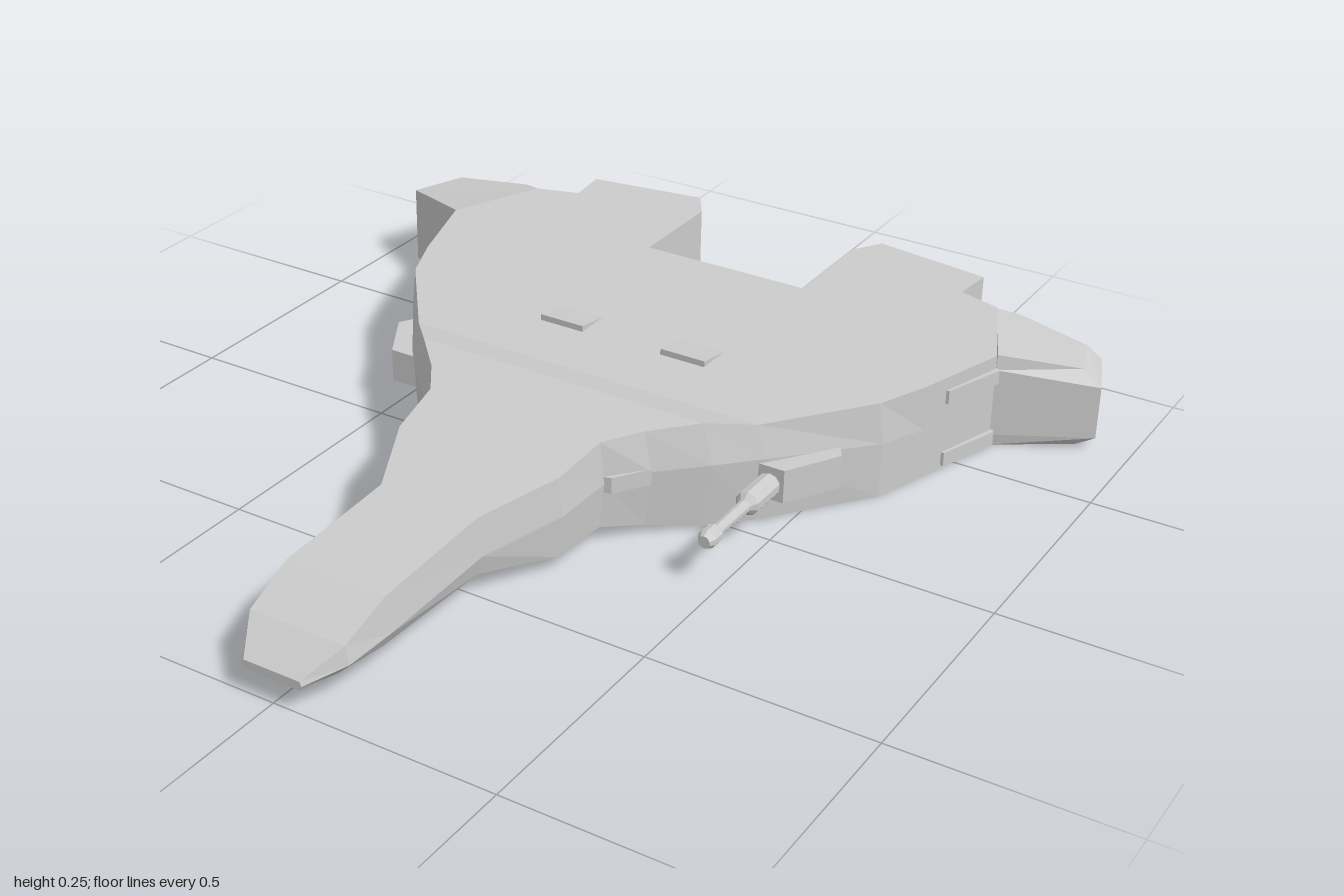
import * as THREE from 'three';

const material = new THREE.MeshStandardMaterial({ color: 0xcccccc, flatShading: true });

function add(group, name, geometry) {
  const mesh = new THREE.Mesh(geometry, material);
  mesh.name = name;
  group.add(mesh);
  return mesh;
}

// Skin a series of equal-sized rings and close both ends
function loft(rings) {
  const pos = [];
  const tri = (a, b, c) => pos.push(...a, ...b, ...c);
  const n = rings[0].length;
  for (let i = 0; i < rings.length - 1; i++) {
    for (let j = 0; j < n; j++) {
      const k = (j + 1) % n;
      tri(rings[i][j], rings[i][k], rings[i + 1][k]);
      tri(rings[i][j], rings[i + 1][k], rings[i + 1][j]);
    }
  }
  const first = rings[0], last = rings[rings.length - 1];
  for (let j = 1; j < n - 1; j++) {
    tri(first[0], first[j + 1], first[j]);
    tri(last[0], last[j], last[j + 1]);
  }
  const g = new THREE.BufferGeometry();
  g.setAttribute('position', new THREE.Float32BufferAttribute(pos, 3));
  g.computeVertexNormals();
  return g;
}

// Upright block from plan rings of [x, y, z]; s = -1 mirrors it to the right side
function block(rings, s) {
  return loft(rings.map((ring) => {
    const r = ring.map(([x, y, z]) => [x * s, y, z]);
    return s < 0 ? r.reverse() : r;
  }));
}
const level = (plan, y) => plan.map(([x, z]) => [x, y, z]);

export function createModel() {
  const model = new THREE.Group();
  model.name = 'spacecraft';

  // Main hull and nose: z, half width, bottom, crease height, top, top inset, bottom inset
  const stations = [
    [-0.61, 0.717, 0.012, 0.12, 0.235, 0, 0],
    [-0.40, 0.65, 0.012, 0.13, 0.235, 0, 0],
    [-0.28, 0.61, 0.012, 0.14, 0.235, 0.01, 0],
    [-0.06, 0.45, 0.012, 0.16, 0.235, 0.02, 0.01],
    [0.03, 0.375, 0.016, 0.165, 0.257, 0.025, 0.015],
    [0.12, 0.285, 0.034, 0.165, 0.254, 0.02, 0.015],
    [0.20, 0.22, 0.05, 0.155, 0.25, 0.01, 0.01],
    [0.33, 0.205, 0.042, 0.14, 0.226, 0.01, 0.01],
    [0.50, 0.127, 0.065, 0.11, 0.196, 0.01, 0.012],
    [0.80, 0.127, 0.065, 0.10, 0.18, 0.01, 0.02],
    [0.92, 0.12, 0.065, 0.095, 0.135, 0.008, 0.03],
    [1.00, 0.07, 0.065, 0.075, 0.085, 0.004, 0.006],
  ];
  add(model, 'hull', loft(stations.map(([z, w, b, m, t, ti, bi]) => [
    [-w + bi, b, z], [w - bi, b, z], [w, m, z],
    [w - ti, t, z], [-w + ti, t, z], [-w, m, z],
  ])));

  // Stern with two engine blocks around a square slot
  const half = [[0.717, -0.61], [0.62, -0.83], [0.52, -0.86], [0.53, -0.96],
    [0.25, -1], [0.205, -0.93], [0.205, -0.68]];
  const plan = [...half, ...half.map(([x, z]) => [-x, z]).reverse()];
  const stern = new THREE.ExtrudeGeometry(
    new THREE.Shape(plan.map(([x, z]) => new THREE.Vector2(x, -z))),
    { depth: 0.223, bevelEnabled: false });
  stern.rotateX(-Math.PI / 2).translate(0, 0.012, 0);
  add(model, 'stern', stern);

  // Winglets: plain on the right, chamfered on the left
  const wing = [[0.717, -0.61], [0.92, -0.72], [0.87, -0.85], [0.67, -0.855], [0.62, -0.83]];
  const topY = [0.235, 0.2, 0.2, 0.225, 0.235];
  const inset = [[0.717, -0.615], [0.875, -0.72], [0.84, -0.83], [0.67, -0.845], [0.62, -0.825]];
  const topOf = (p, drop) => p.map(([x, z], i) => [x, topY[i] - drop, z]);
  add(model, 'rightWinglet', block([level(wing, 0.012), topOf(wing, 0)], -1));
  add(model, 'leftWinglet', block([
    level(inset, 0.012), level(wing, 0.04), topOf(wing, 0.035), topOf(inset, 0),
  ], 1));

  // Flank pods, small shoulder blocks and roof ramps on both sides
  const pod = [[0.42, -0.05], [0.50, -0.05], [0.57, -0.17], [0.55, -0.205], [0.48, -0.2]];
  const shoulder = [[0.20, 0.205], [0.235, 0.195], [0.285, 0.12], [0.24, 0.10]];
  for (const [side, s] of [['left', 1], ['right', -1]]) {
    add(model, side + 'FlankPod', block([level(pod, 0.075), level(pod, 0.152)], s));
    add(model, side + 'ShoulderBlock', block([level(shoulder, 0.135), level(shoulder, 0.172)], s));
    const ramp = [[0.1, -0.22], [0.21, -0.22], [0.21, -0.305], [0.1, -0.305]];
    const rampTop = ramp.map(([x, z], i) => [x, i < 2 ? 0.249 : 0.2355, z]);
    add(model, side + 'RoofRamp', block([level(ramp, 0.225), rampTop], s));
  }

  // Armour rails on the left flank ahead of the winglet
  for (const y of [0.02, 0.172]) {
    const rail = [[0.62, -0.46], [0.676, -0.46], [0.728, -0.605], [0.7, -0.64]];
    add(model, 'flankRail', block([level(rail, y), level(rail, y + 0.032)], 1));
  }

  // Cannon on the left pod, a single turned profile
  const profile = [[0, -0.055], [0.022, -0.055], [0.027, -0.045], [0.027, 0.045], [0.015, 0.058],
    [0.013, 0.17], [0.021, 0.18], [0.021, 0.208], [0.014, 0.222], [0, 0.222]];
  const cannon = new THREE.LatheGeometry(profile.map(([r, z]) => new THREE.Vector2(r, z)), 10);
  cannon.rotateX(Math.PI / 2);
  add(model, 'cannon', cannon).position.set(0.467, 0.112, 0);

  return model;
}
